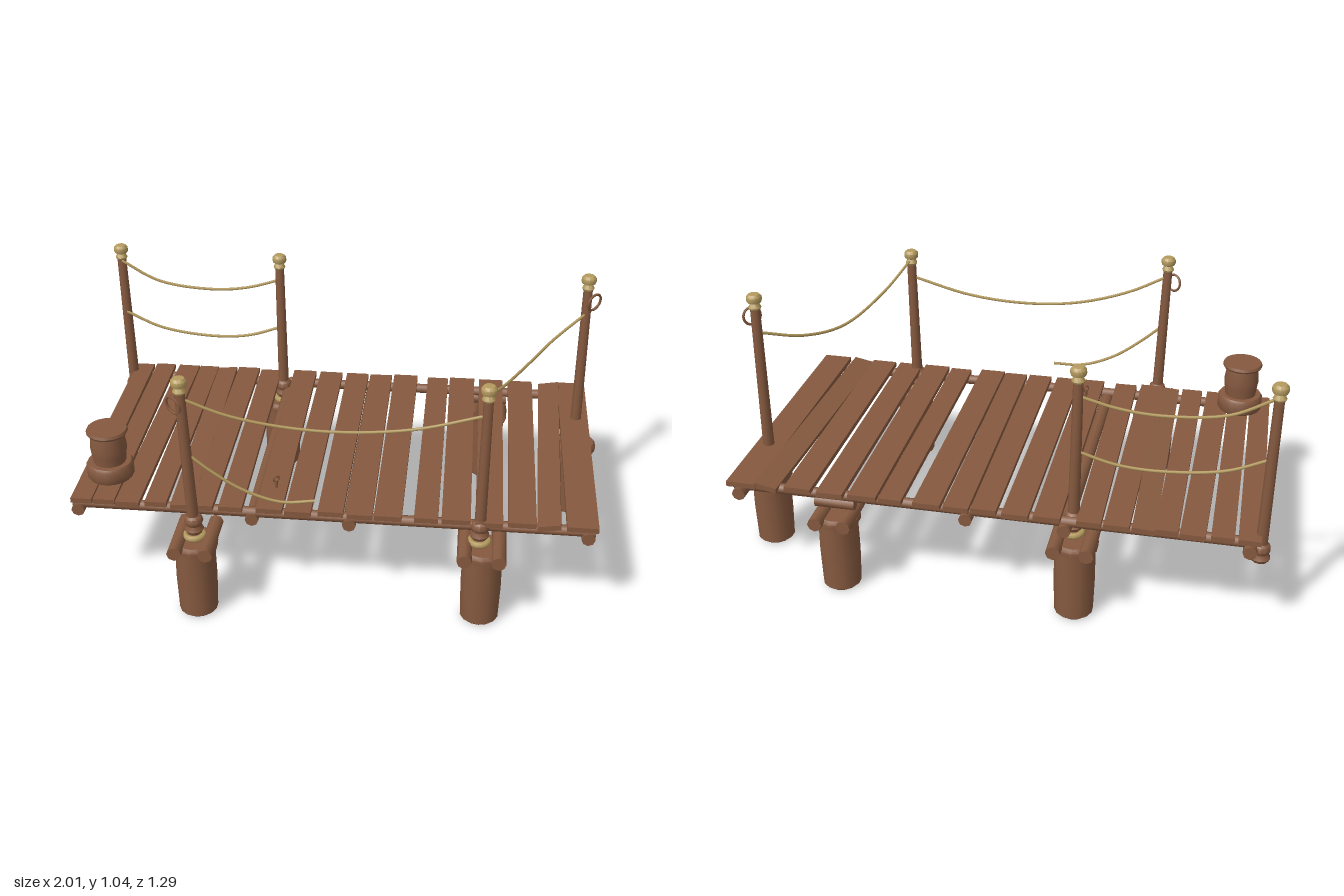
import * as THREE from 'three';
import { toCreasedNormals } from 'three/addons/utils/BufferGeometryUtils.js';

const wood = new THREE.MeshStandardMaterial({ name: 'wood brown', color: 0x85593f });
const straw = new THREE.MeshStandardMaterial({ name: 'rope straw', color: 0xb49a5e });
const V = (x, y, z) => new THREE.Vector3(x, y, z);

export function createModel() {
  const root = new THREE.Group();
  root.name = 'dock';

  function add(name, geometry, material, x = 0, y = 0, z = 0) {
    const mesh = new THREE.Mesh(geometry, material);
    mesh.name = name;
    mesh.position.set(x, y, z);
    root.add(mesh);
    return mesh;
  }

  // Turned part from [radius, height] pairs
  function lathe(points, sides) {
    const g = new THREE.LatheGeometry(points.map(p => new THREE.Vector2(...p)), sides);
    return toCreasedNormals(g, 0.7);
  }

  // Round log between two points
  function log(name, a, b, r0, r1 = r0, sides = 8) {
    const d = b.clone().sub(a);
    const g = toCreasedNormals(new THREE.CylinderGeometry(r1, r0, d.length(), sides), 0.9);
    const m = add(name, g, wood);
    m.position.copy(a).add(b).multiplyScalar(0.5);
    m.quaternion.setFromUnitVectors(V(0, 1, 0), d.normalize());
    return m;
  }

  // Rope hanging through a few points
  function rope(name, points, r = 0.0055) {
    const curve = new THREE.CatmullRomCurve3(points.map(p => V(...p)));
    add(name, new THREE.TubeGeometry(curve, 24, r, 6), straw);
  }

  // Deck planks: [centre x, width, yaw, roll]
  const planks = [
    [-0.92, 0.078, 0.012, 0], [-0.832, 0.08, 0.006, 0], [-0.737, 0.088, -0.008, 0],
    [-0.64, 0.08, 0.006, 0], [-0.552, 0.082, 0.022, 0.08], [-0.47, 0.09, 0, 0],
    [-0.367, 0.086, 0.01, 0], [-0.222, 0.096, 0.004, 0], [-0.113, 0.095, -0.004, 0],
    [0.003, 0.092, 0, 0], [0.106, 0.092, 0.005, 0], [0.21, 0.1, 0, 0], [0.347, 0.086, 0, 0],
    [0.452, 0.104, 0.004, 0], [0.572, 0.098, 0, 0], [0.692, 0.1, -0.005, 0],
    [0.8, 0.084, -0.03, 0.18], [0.905, 0.112, -0.006, 0],
  ];
  planks.forEach(([x, w, yaw, roll], i) => {
    const length = 1.07 + 0.006 * (i % 3);
    const m = add('plank', new THREE.BoxGeometry(w, 0.02, length), wood,
      x, 0.407 + 0.003 * (i % 2), -0.052);
    m.rotation.set(0, yaw, roll);
  });

  // Frame logs under the deck
  for (const z of [-0.545, 0.455])
    log('frameLog', V(-0.95, 0.385, z), V(0.95, 0.385, z), 0.02);
  for (const x of [-0.93, -0.285, 0.07, 0.925])
    log('crossLog', V(x, 0.364, -0.585), V(x, 0.364, 0.48), 0.025);

  // Piles standing in the water
  const pileShape = lathe([[0, 0], [0.06, 0], [0.071, 0.01], [0.075, 0.15], [0.073, 0.28],
    [0.083, 0.28], [0.085, 0.3], [0.076, 0.314], [0, 0.314]], 14);
  const piles = [[-0.485, 0.54], [0.555, 0.48], [0.92, -0.295], [-0.32, -0.537], [0.562, -0.54]];
  for (const [x, z] of piles) add('pile', pileShape, wood, x, 0, z);

  // Paired bearer logs resting on the piles: x positions, z range
  const bearers = [
    [[-0.54, -0.428], 0.42, 0.645], [[0.49, 0.612], 0.375, 0.585],
    [[-0.375, -0.258], -0.645, -0.45], [[0.508, 0.615], -0.645, -0.45],
  ];
  for (const [xs, z0, z1] of bearers)
    for (const x of xs) log('bearerLog', V(x, 0.31, z0), V(x, 0.31, z1), 0.027);
  log('bearerTie', V(0.49, 0.355, -0.545), V(0.64, 0.355, -0.545), 0.024);

  // Railing posts: bottom x, y, z and top x, y, z
  const posts = [
    [-0.965, 0.315, -0.53, -0.975, 0.945, -0.532],
    [-0.308, 0.335, -0.515, -0.315, 0.935, -0.52],
    [-0.485, 0.335, 0.535, -0.502, 0.925, 0.545],
    [0.54, 0.335, 0.467, 0.543, 0.905, 0.455],
    [0.915, 0.315, -0.297, 0.912, 0.995, -0.3],
  ];
  const knob = lathe([[0, -0.012], [0.02, -0.012], [0.024, -0.004], [0.02, 0.004], [0.016, 0.012],
    [0.026, 0.017], [0.029, 0.026], [0.028, 0.038], [0.02, 0.047], [0, 0.05]], 12);
  const foot = lathe([[0, 0], [0.03, 0], [0.036, 0.012], [0.03, 0.024], [0.028, 0.03],
    [0.035, 0.045], [0.031, 0.062], [0.022, 0.07], [0, 0.07]], 10);
  const binding = new THREE.TorusGeometry(0.032, 0.012, 6, 14).rotateX(Math.PI / 2);
  posts.forEach(([x0, y0, z0, x1, y1, z1], i) => {
    log('railPost', V(x0, y0, z0), V(x1, y1, z1), 0.022, 0.018, 10);
    add('postKnob', knob, straw, x1, y1, z1);
    add('postFoot', foot, wood, x0, i === 0 ? 0.31 : i === 4 ? 0.33 : 0.342, z0);
    if (i > 0) add('ropeBinding', binding, straw, x0, 0.326, z0);
  });

  // Railing ropes
  rope('upperBackRope', [[-0.97, 0.93, -0.515], [-0.82, 0.85, -0.512], [-0.6, 0.822, -0.51],
    [-0.45, 0.835, -0.513], [-0.315, 0.872, -0.52]]);
  rope('lowerBackRope', [[-0.968, 0.7, -0.515], [-0.82, 0.636, -0.512], [-0.6, 0.607, -0.51],
    [-0.45, 0.617, -0.513], [-0.31, 0.66, -0.52]]);
  rope('frontRope', [[-0.5, 0.89, 0.54], [-0.35, 0.82, 0.518], [-0.15, 0.768, 0.49],
    [0.06, 0.752, 0.475], [0.3, 0.773, 0.465], [0.543, 0.838, 0.458]]);
  rope('sideRope', [[0.545, 0.912, 0.45], [0.605, 0.845, 0.24], [0.69, 0.805, 0],
    [0.79, 0.83, -0.17], [0.91, 0.885, -0.29]]);
  rope('brokenRope', [[-0.49, 0.67, 0.54], [-0.41, 0.6, 0.535], [-0.3, 0.523, 0.525],
    [-0.17, 0.475, 0.515], [-0.05, 0.477, 0.5]]);

  // Loops hung on two of the posts
  const loop = new THREE.TorusGeometry(0.033, 0.005, 6, 20);
  for (const [x, y, z, yaw] of [[-0.527, 0.865, 0.545, -0.6], [0.938, 0.943, -0.275, 0.75]])
    add('postLoop', loop, wood, x, y, z).rotation.set(0.15, yaw, 0);

  // Mooring bollard
  add('bollard', lathe([[0, 0.44], [0.082, 0.44], [0.087, 0.448], [0.087, 0.492], [0.08, 0.502],
    [0.06, 0.502], [0.064, 0.535], [0.068, 0.565], [0.06, 0.618], [0.073, 0.62],
    [0.077, 0.628], [0.073, 0.638], [0, 0.638]], 18), wood, -0.834, 0, 0.34);

  // Small eye bolt on the deck
  log('eyeBoltPin', V(-0.213, 0.415, 0.338), V(-0.213, 0.45, 0.338), 0.006);
  add('eyeBoltRing', new THREE.TorusGeometry(0.011, 0.004, 6, 12), wood, -0.213, 0.457, 0.338)
    .rotation.y = 0.6;

  return root;
}
